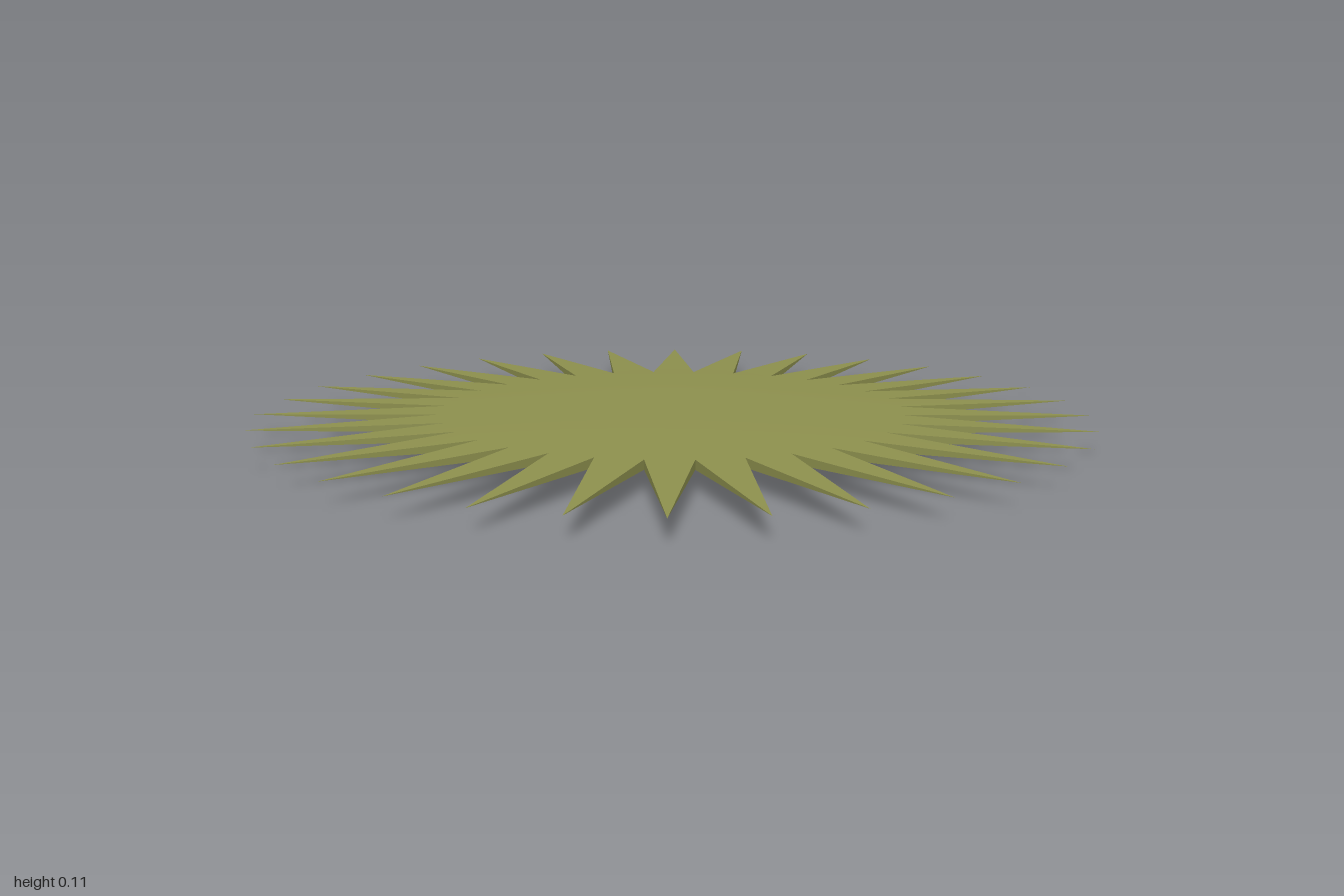
import * as THREE from 'three';

const SPIKES = 32, TIP = 1.005, VALLEY = 0.55;
const MID = 0.055, RISE = 0.055, EDGE = 0.011;

const polar = (r, step, y) => {
  const a = (step * Math.PI) / SPIKES;
  return [r * Math.cos(a), y, r * Math.sin(a)];
};

function makeGeometry(points, index) {
  const g = new THREE.BufferGeometry();
  g.setAttribute('position', new THREE.Float32BufferAttribute(points.flat(), 3));
  if (index) g.setIndex(index);
  g.computeVertexNormals();
  return g;
}

// Shallow cone whose rim carries the spikes; side is 1 for the top, -1 for the underside
function starFace(side) {
  const points = [[0, MID + side * RISE, 0]], index = [];
  const tri = (a, b, c) => index.push(...(side > 0 ? [a, c, b] : [a, b, c]));
  for (let i = 0; i < SPIKES; i++) {
    points.push(polar(VALLEY, 2 * i, MID + side * EDGE), polar(TIP, 2 * i + 1, MID));
    const valley = 1 + 2 * i, next = 1 + 2 * ((i + 1) % SPIKES);
    tri(0, valley, next);
    tri(valley, valley + 1, next);
  }
  return makeGeometry(points, index);
}

// Thin walls along both flanks of every spike, tapering to the tip
function spikeWalls() {
  const points = [];
  for (let i = 0; i < SPIKES; i++) {
    const tip = polar(TIP, 2 * i + 1, MID);
    const up = (s) => polar(VALLEY, s, MID + EDGE), low = (s) => polar(VALLEY, s, MID - EDGE);
    points.push(up(2 * i), tip, low(2 * i));
    points.push(up(2 * i + 2), low(2 * i + 2), tip);
  }
  return makeGeometry(points);
}

export function createModel() {
  const group = new THREE.Group();
  group.name = 'spikedDisc';
  const material = new THREE.MeshStandardMaterial({ color: 0x8c8f4d });
  const add = (name, geometry) => {
    const mesh = new THREE.Mesh(geometry, material);
    mesh.name = name;
    group.add(mesh);
  };
  add('topFace', starFace(1));
  add('undersideFace', starFace(-1));
  add('spikeWalls', spikeWalls());
  return group;
}
